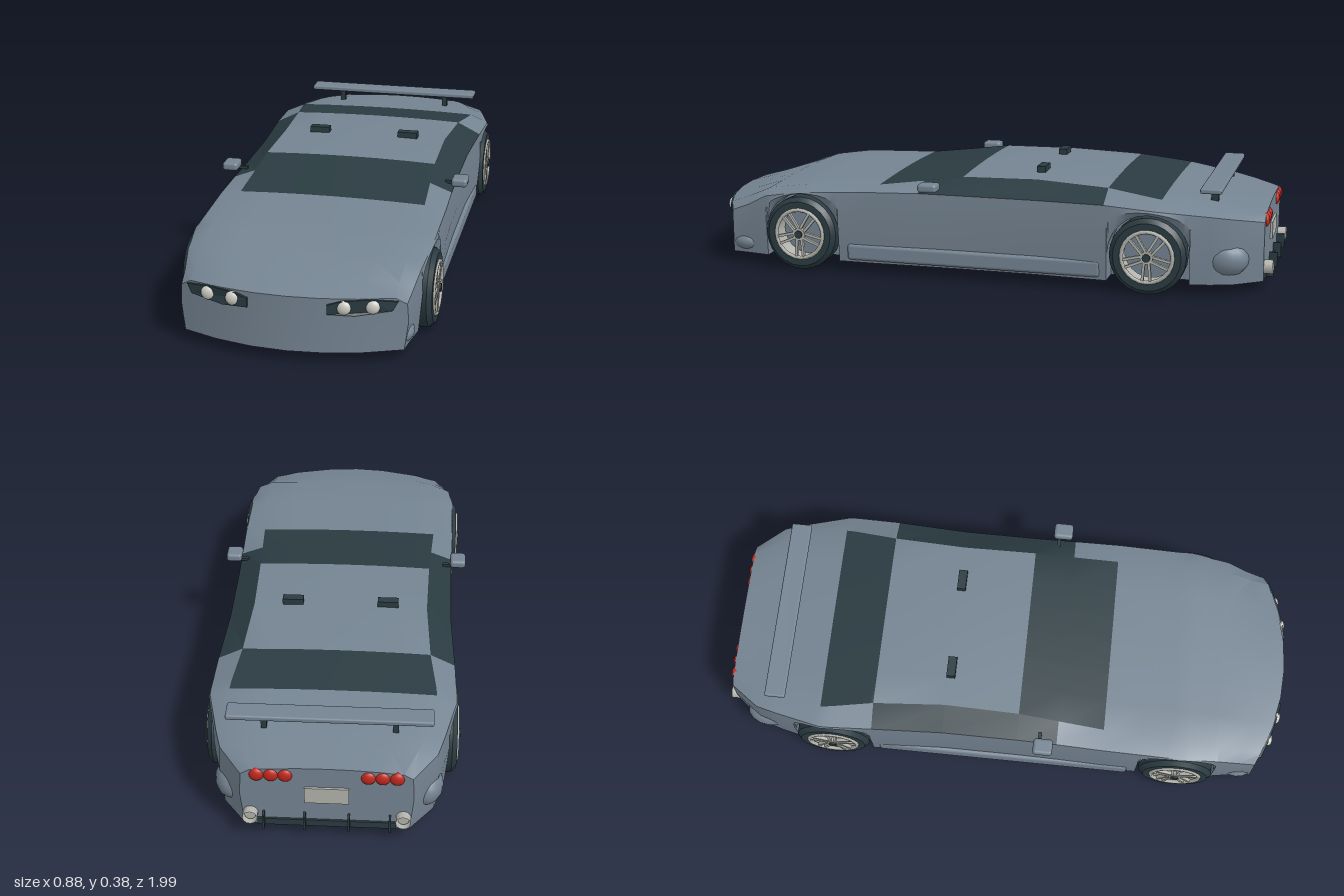
import * as THREE from 'three';
import { toCreasedNormals } from 'three/addons/utils/BufferGeometryUtils.js';
import { RoundedBoxGeometry } from 'three/addons/geometries/RoundedBoxGeometry.js';

const mat = (name, color, side = THREE.FrontSide) => {
  const m = new THREE.MeshStandardMaterial({ color, side });
  m.name = name;
  return m;
};
const M = {
  paint: mat('slate paint', 0x758492),
  dark: mat('dark glass and rubber', 0x2a3b41),
  silver: mat('silver', 0xb4b4ae, THREE.DoubleSide),
  lamp: mat('lamp white', 0xd0d0c8),
  red: mat('tail light red', 0xc0281e),
};

// Body key stations: z, belt half width, belt y, roof edge half width, roof edge y, centre y
const KEYS = [
  [0.99, 0.36, 0.19, 0.325, 0.213, 0.22],
  [0.90, 0.368, 0.215, 0.325, 0.237, 0.245],
  [0.77, 0.38, 0.252, 0.33, 0.273, 0.28],
  [0.63, 0.392, 0.276, 0.335, 0.293, 0.299],
  [0.36, 0.392, 0.29, 0.32, 0.304, 0.311],
  [0.20, 0.388, 0.295, 0.312, 0.325, 0.332],
  [0.06, 0.386, 0.295, 0.305, 0.345, 0.352],
  [-0.20, 0.386, 0.295, 0.30, 0.349, 0.357],
  [-0.45, 0.398, 0.295, 0.315, 0.337, 0.344],
  [-0.63, 0.405, 0.284, 0.34, 0.313, 0.32],
  [-0.80, 0.365, 0.268, 0.305, 0.289, 0.296],
  [-0.87, 0.345, 0.26, 0.285, 0.277, 0.285],
  [-0.97, 0.27, 0.24, 0.24, 0.258, 0.27],
];
const AXLES = [0.63, -0.6];
const AXLE_Y = 0.13, ARCH_R = 0.138, FLOOR = 0.036;
const BOTTOM = [0, 0.33, 0.67, 1], TOP = [1, 0.67, 0.33, 0];

const smooth = (t) => { t = Math.min(1, Math.max(0, t)); return t * t * (3 - 2 * t); };
// The nose bows back towards its corners
const bow = (x, z) => z - 0.09 * (x / 0.37) ** 2 * smooth((z - 0.75) / 0.24);

function keyAt(z) {
  let i = 0;
  while (i < KEYS.length - 2 && z < KEYS[i + 1][0]) i++;
  const a = KEYS[i], b = KEYS[i + 1], t = (z - a[0]) / (b[0] - a[0]);
  return a.map((v, k) => v + (b[k] - v) * t);
}

// Half section from floor centre, round the side, to the top centre
function halfSection(z, archY) {
  const [, xb, yb, xr, yr, yt] = keyAt(z);
  const inner = Math.min(0.31, xb - 0.02);
  const pts = BOTTOM.map((f) => [inner * f, FLOOR]);
  pts.push([inner, archY], [xb - 0.008, archY], [xb + 0.004, archY + (yb - archY) * 0.6], [xb, yb]);
  TOP.forEach((f) => pts.push([xr * f, yr + (yt - yr) * (1 - f * f)]));
  return pts.map(([x, y]) => new THREE.Vector3(x, y, bow(x, z)));
}
const BELT = BOTTOM.length + 3;

function addBody(group) {
  const paint = [], glass = [];
  const tri = (out, a, b, c) => {
    if (b.clone().sub(a).cross(c.clone().sub(a)).length() > 1e-8) out.push(...a, ...b, ...c);
  };
  const quad = (out, a, b, c, d) => { tri(out, a, b, c); tri(out, a, c, d); };

  // Stations, with round wheel openings cut into the lower side
  const stations = KEYS.filter(([z]) => AXLES.every((c) => Math.abs(z - c) > ARCH_R + 0.001))
    .map(([z]) => [z, FLOOR]);
  for (const c of AXLES) {
    stations.push([c + ARCH_R + 1e-5, FLOOR], [c - ARCH_R - 1e-5, FLOOR]);
    for (let i = 0; i <= 12; i++) {
      const a = (i / 12) * Math.PI;
      stations.push([c + ARCH_R * Math.cos(a), AXLE_Y + ARCH_R * Math.sin(a)]);
    }
  }
  stations.sort((a, b) => b[0] - a[0]);
  const rings = stations.map(([z, y]) => halfSection(z, y));
  const flip = (v) => new THREE.Vector3(-v.x, v.y, v.z);
  for (let s = 0; s < rings.length - 1; s++) {
    const a = rings[s], b = rings[s + 1], z = (stations[s][0] + stations[s + 1][0]) / 2;
    for (let i = 0; i < a.length - 1; i++) {
      const sideGlass = i === BELT && z < 0.2 && z > -0.45;
      const endGlass = i > BELT && ((z < 0.36 && z > 0.06) || (z < -0.45 && z > -0.63));
      const out = sideGlass || endGlass ? glass : paint;
      quad(out, a[i], b[i], b[i + 1], a[i + 1]);
      quad(out, flip(a[i + 1]), flip(b[i + 1]), flip(b[i]), flip(a[i]));
    }
  }

  // Nose and tail panels
  const cols = [-1, -0.67, -0.33, 0, 0.33, 0.67, 1];
  for (const [z, front] of [[0.99, true], [-0.97, false]]) {
    const [, xb, yb, xr, yr, yt] = keyAt(z);
    const rows = [[xb - 0.008, FLOOR, 0], [xb + 0.004, FLOOR + (yb - FLOOR) * 0.6, 0], [xb, yb, 0], [xr, yr, yt - yr]];
    const grid = rows.map(([w, y, crown]) => cols.map((f) =>
      new THREE.Vector3(w * f, y + crown * (1 - f * f), bow(w * f, z))));
    for (let r = 0; r < 3; r++) for (let c = 0; c < 6; c++) {
      const q = [grid[r][c], grid[r][c + 1], grid[r + 1][c + 1], grid[r + 1][c]];
      quad(paint, ...(front ? q : q.reverse()));
    }
  }
  for (const [name, data, m] of [['bodyShell', paint, M.paint], ['windows', glass, M.dark]]) {
    const g = new THREE.BufferGeometry();
    g.setAttribute('position', new THREE.Float32BufferAttribute(data, 3));
    add(group, name, toCreasedNormals(g, 0.5), m);
  }
}

function add(parent, name, geometry, material, x = 0, y = 0, z = 0) {
  const mesh = new THREE.Mesh(geometry, material);
  mesh.name = name;
  mesh.position.set(x, y, z);
  parent.add(mesh);
  return mesh;
}
const box = (w, h, d) => new THREE.BoxGeometry(w, h, d);
const rbox = (w, h, d, r) => new RoundedBoxGeometry(w, h, d, 2, r);

// Wheel built around y, outer face up, then laid on its side
function wheel(side, z) {
  const g = new THREE.Group();
  g.name = 'wheel';
  const profile = [[0.09, -0.042], [0.115, -0.042], [0.13, -0.026], [0.13, 0.026], [0.115, 0.042], [0.09, 0.042], [0.09, -0.042]]
    .map((p) => new THREE.Vector2(...p));
  add(g, 'tyre', toCreasedNormals(new THREE.LatheGeometry(profile, 24), 0.5), M.dark);
  add(g, 'rimBarrel', new THREE.CylinderGeometry(0.089, 0.089, 0.08, 24, 1, true), M.silver);
  add(g, 'rimLip', new THREE.TorusGeometry(0.086, 0.007, 6, 24), M.silver, 0, 0.042).rotation.x = Math.PI / 2;
  for (let i = 0; i < 5; i++) {
    const spoke = new THREE.Group();
    spoke.name = 'spoke';
    spoke.rotation.y = (i / 5) * Math.PI * 2;
    for (const k of [-1, 1]) add(spoke, 'spokeArm', box(0.075, 0.012, 0.009), M.silver, 0.05, 0.04, k * 0.011).rotation.y = -k * 0.08;
    g.add(spoke);
  }
  add(g, 'hub', new THREE.CylinderGeometry(0.022, 0.022, 0.016, 12), M.silver, 0, 0.041);
  add(g, 'hubCap', new THREE.CylinderGeometry(0.014, 0.014, 0.008, 10), M.dark, 0, 0.051);
  g.rotation.z = -side * Math.PI / 2;
  g.position.set(side * 0.368, AXLE_Y, z);
  return g;
}

// Headlight panel, bent to follow the nose
function headlight(side) {
  const pts = [[0.125, 0.17], [0.21, 0.164], [0.32, 0.175], [0.335, 0.203], [0.25, 0.215], [0.17, 0.212], [0.125, 0.2]];
  const shape = new THREE.Shape(pts.map(([x, y]) => new THREE.Vector2(side * x, y)));
  const g = new THREE.ExtrudeGeometry(shape, { depth: 0.009, bevelEnabled: false });
  const p = g.attributes.position;
  for (let i = 0; i < p.count; i++) {
    const lean = Math.max(0, p.getY(i) - 0.19) * 0.1;
    p.setZ(i, p.getZ(i) + bow(p.getX(i), 0.99) - lean);
  }
  g.computeVertexNormals();
  return g;
}

export function createModel() {
  const car = new THREE.Group();
  car.name = 'sportsCar';
  addBody(car);

  for (const s of [-1, 1]) {
    for (const z of AXLES) car.add(wheel(s, z));
    add(car, 'sideSkirt', rbox(0.05, 0.058, 0.9, 0.012), M.paint, s * 0.371, 0.073, 0.01);

    // Bumper corner bulges
    add(car, 'rearBumperBulge', new THREE.SphereGeometry(1, 16, 12), M.paint, s * 0.305, 0.12, -0.845).scale.set(0.062, 0.065, 0.08);
    add(car, 'frontBumperBulge', new THREE.SphereGeometry(1, 16, 12), M.paint, s * 0.325, 0.075, 0.855).scale.set(0.05, 0.036, 0.06);

    // Door mirror
    add(car, 'mirror', rbox(0.056, 0.03, 0.068, 0.011), M.paint, s * 0.41, 0.324, 0.153);
    add(car, 'mirrorStem', box(0.06, 0.01, 0.012), M.dark, s * 0.385, 0.312, 0.14);

    // Headlights
    add(car, 'headlightPanel', headlight(s), M.dark);
    for (const x of [0.175, 0.26])
      add(car, 'headlamp', new THREE.SphereGeometry(0.023, 16, 10), M.lamp, s * x, 0.19, bow(x, 0.99) + 0.003).scale.z = 0.6;

    // Tail lights, exhaust and diffuser fins
    for (const x of [0.13, 0.175, 0.22])
      add(car, 'tailLight', new THREE.SphereGeometry(0.024, 14, 10), M.red, s * x, 0.238, -0.967).scale.z = 0.6;
    const pipe = add(car, 'exhaust', new THREE.CylinderGeometry(0.024, 0.024, 0.07, 14, 1, true), M.silver, s * 0.242, 0.083, -0.965);
    pipe.rotation.x = Math.PI / 2;
    add(car, 'exhaustCore', new THREE.CylinderGeometry(0.018, 0.018, 0.04, 12), M.silver, s * 0.242, 0.083, -0.965).rotation.x = Math.PI / 2;
    for (const x of [0.07, 0.2]) add(car, 'diffuserFin', box(0.007, 0.052, 0.05), M.dark, s * x, 0.064, -0.973);

    // Roof pods and spoiler struts
    add(car, 'roofPod', box(0.072, 0.022, 0.03), M.dark, s * 0.165, 0.364, -0.19);
    add(car, 'spoilerStrut', box(0.018, 0.06, 0.025), M.dark, s * 0.21, 0.315, -0.795);
  }

  add(car, 'diffuser', box(0.44, 0.024, 0.03), M.dark, 0, 0.05, -0.962);
  add(car, 'rearPlate', box(0.14, 0.06, 0.008), M.silver, 0, 0.165, -0.974);
  add(car, 'spoilerWing', rbox(0.66, 0.018, 0.072, 0.006), M.paint, 0, 0.346, -0.795);
  return car;
}
